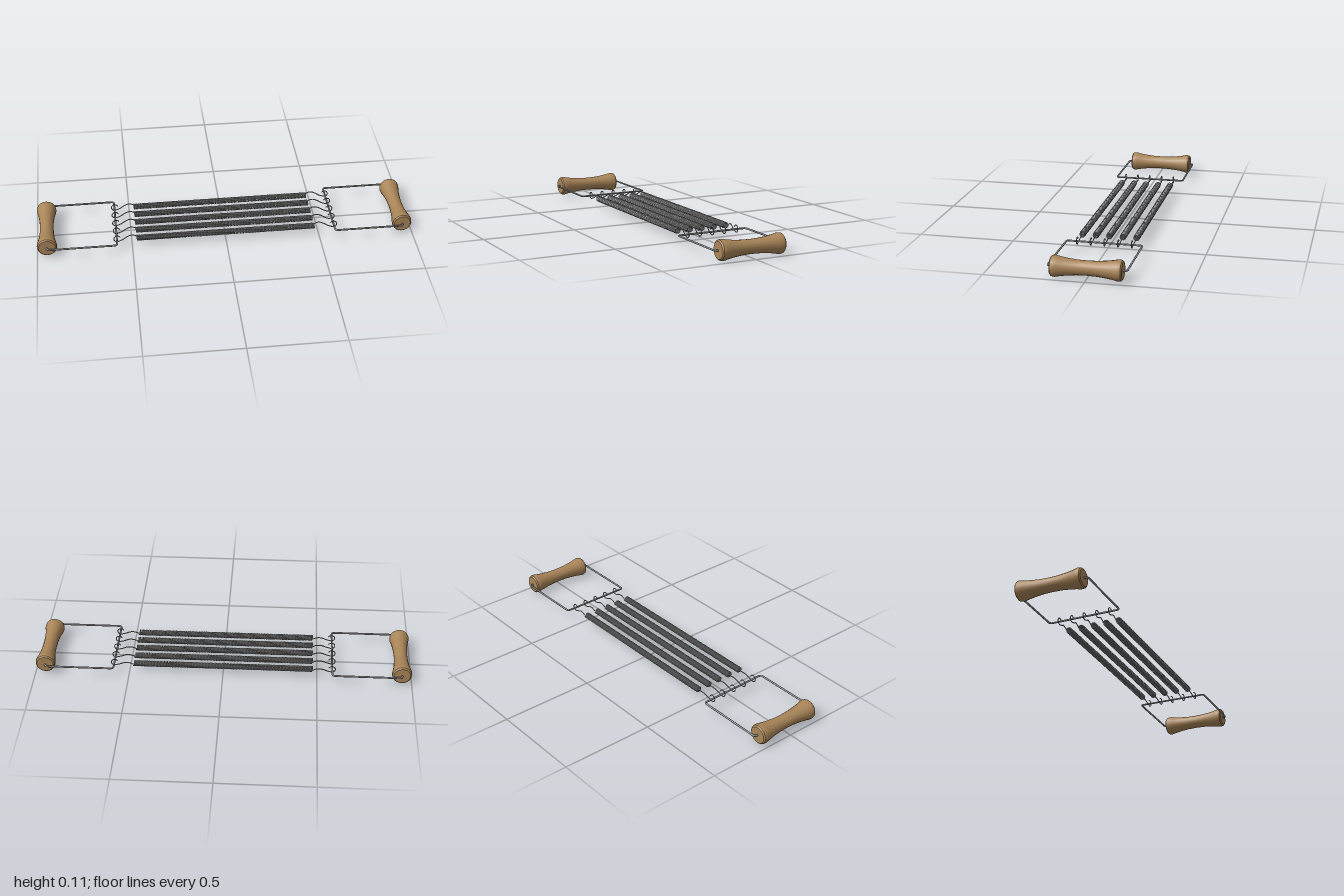
import * as THREE from 'three';
import { toCreasedNormals } from 'three/addons/utils/BufferGeometryUtils.js';

const Y = 0.054;          // height of the centre line
const HANDLE_X = 0.947;
const BAR_X = 0.58;
const COIL_HALF = 0.476;
const COIL_R = 0.0132;

const wood = new THREE.MeshStandardMaterial({ color: 0xa98558 });
wood.name = 'wood';
const steel = new THREE.MeshStandardMaterial({ color: 0x8e8e90 });
steel.name = 'steel';

const v = (x, y, z) => new THREE.Vector3(x, y, z);

function part(name, geometry, material) {
  const mesh = new THREE.Mesh(geometry, material);
  mesh.name = name;
  return mesh;
}

// Turned grip, waisted in the middle with flared, chamfered ends
function gripGeometry() {
  const half = [[0.036, 0], [0.0375, 0.05], [0.042, 0.095], [0.0475, 0.13], [0.052, 0.15],
    [0.0528, 0.157], [0.0505, 0.17], [0.044, 0.176], [0, 0.176]];
  const lower = half.slice(1).reverse().map(([r, y]) => new THREE.Vector2(r, -y));
  const upper = half.map(([r, y]) => new THREE.Vector2(r, y));
  const geometry = new THREE.LatheGeometry([...lower, ...upper], 20);
  geometry.rotateX(Math.PI / 2);
  return toCreasedNormals(geometry, 0.5);
}

// Wire bow with rounded corners, its ends set into the grip
function frameGeometry(side) {
  const zEdge = 0.194, r = 0.016;
  const corners = [[HANDLE_X, -0.15], [HANDLE_X, -zEdge], [BAR_X, -zEdge],
    [BAR_X, zEdge], [HANDLE_X, zEdge], [HANDLE_X, 0.15]].map(([x, z]) => v(side * x, Y, z));
  const path = new THREE.CurvePath();
  let from = corners[0];
  for (let i = 1; i < corners.length - 1; i++) {
    const c = corners[i];
    const a = c.clone().add(corners[i - 1].clone().sub(c).setLength(r));
    const b = c.clone().add(corners[i + 1].clone().sub(c).setLength(r));
    path.add(new THREE.LineCurve3(from, a));
    path.add(new THREE.QuadraticBezierCurve3(a, c, b));
    from = b;
  }
  path.add(new THREE.LineCurve3(from, corners[corners.length - 1]));
  return new THREE.TubeGeometry(path, 200, 0.005, 8);
}

// Tightly wound spring along x
class Helix extends THREE.Curve {
  constructor(turns) {
    super();
    this.turns = turns;
  }
  getPoint(t, target = new THREE.Vector3()) {
    const a = t * this.turns * Math.PI * 2;
    return target.set((t * 2 - 1) * COIL_HALF, COIL_R * Math.sin(a), -COIL_R * Math.cos(a));
  }
  // The helix runs at constant speed, so arc length equals t
  getPointAt(t, target) { return this.getPoint(t, target); }
  getTangentAt(t, target) { return this.getTangent(t, target); }
}

// Wavy end wire that leaves the coil and loops round the bar
function hookGeometry(side) {
  const points = [v(COIL_HALF, 0.002, -COIL_R), v(0.49, 0.009, -COIL_R), v(0.508, 0.011, -0.011),
    v(0.528, 0.005, -0.006), v(0.548, -0.006, -0.002)];
  for (let i = 0; i <= 9; i++) {
    const a = -2.1 + i * 0.53;
    points.push(v(BAR_X - 0.002 + 0.018 * Math.cos(a), 0.002 + 0.018 * Math.sin(a), 0));
  }
  points.forEach((p) => { p.x *= side; });
  return new THREE.TubeGeometry(new THREE.CatmullRomCurve3(points), 60, 0.0027, 6);
}

export function createModel() {
  const model = new THREE.Group();
  model.name = 'chestExpander';

  // Handles
  const grip = gripGeometry();
  for (const side of [1, -1]) {
    const handle = new THREE.Group();
    handle.name = side > 0 ? 'leftHandle' : 'rightHandle';
    const gripMesh = part('grip', grip, wood);
    gripMesh.position.set(side * HANDLE_X, Y, 0);
    handle.add(gripMesh, part('wireFrame', frameGeometry(side), steel));
    model.add(handle);
  }

  // Five parallel springs
  const turns = 120;
  const coil = new THREE.TubeGeometry(new Helix(turns), turns * 10, 0.0038, 6);
  const hooks = [hookGeometry(1), hookGeometry(-1)];
  for (let i = -2; i <= 2; i++) {
    const spring = new THREE.Group();
    spring.name = 'spring' + (i + 3);
    spring.position.set(0, Y, i * 0.07);
    spring.add(part('coil', coil, steel));
    spring.add(part('leftHook', hooks[0], steel), part('rightHook', hooks[1], steel));
    model.add(spring);
  }
  return model;
}
